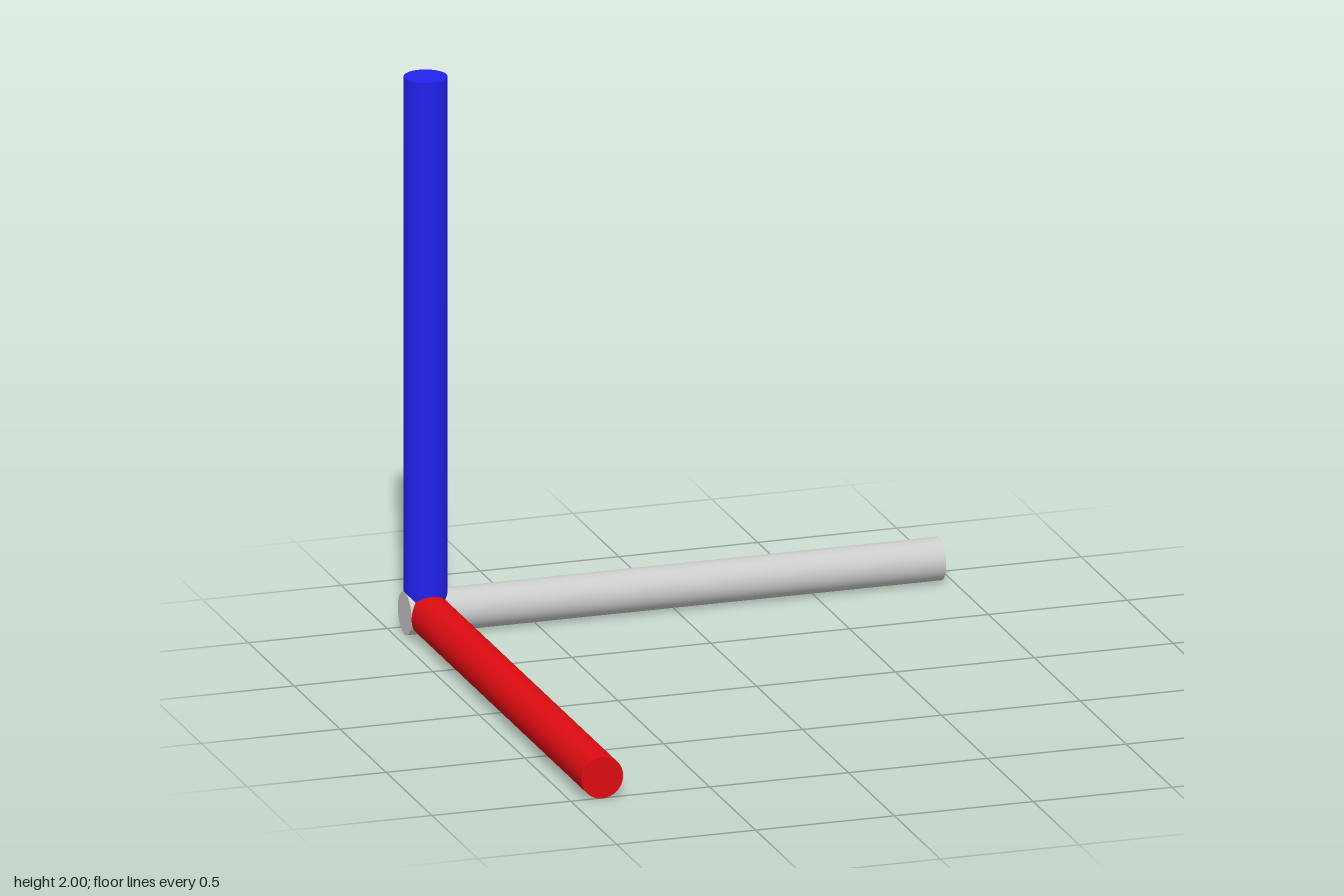
import * as THREE from 'three';

const RADIUS = 0.075;
const LENGTH = 1.925;

// A capped rod running from a start point along one axis
function makeRod(name, color, start, direction) {
  const geometry = new THREE.CylinderGeometry(RADIUS, RADIUS, LENGTH, 48);
  geometry.translate(0, LENGTH / 2, 0);
  const rod = new THREE.Mesh(geometry, new THREE.MeshStandardMaterial({ color }));
  rod.name = name;
  rod.position.copy(start);
  rod.quaternion.setFromUnitVectors(new THREE.Vector3(0, 1, 0), direction);
  return rod;
}

export function createModel() {
  const group = new THREE.Group();
  group.name = 'axisTriad';

  // Shared corner where the rods meet
  const corner = new THREE.Vector3(-0.888, RADIUS, -0.92);

  // The sideways rod starts one radius beyond the corner
  const sideStart = corner.clone().setX(corner.x - RADIUS);

  group.add(
    makeRod('sidewaysRod', 0xcccccc, sideStart, new THREE.Vector3(1, 0, 0)),
    makeRod('uprightRod', 0x2222ee, corner, new THREE.Vector3(0, 1, 0)),
    makeRod('forwardRod', 0xdd0c12, corner, new THREE.Vector3(0, 0, 1)),
  );
  return group;
}
